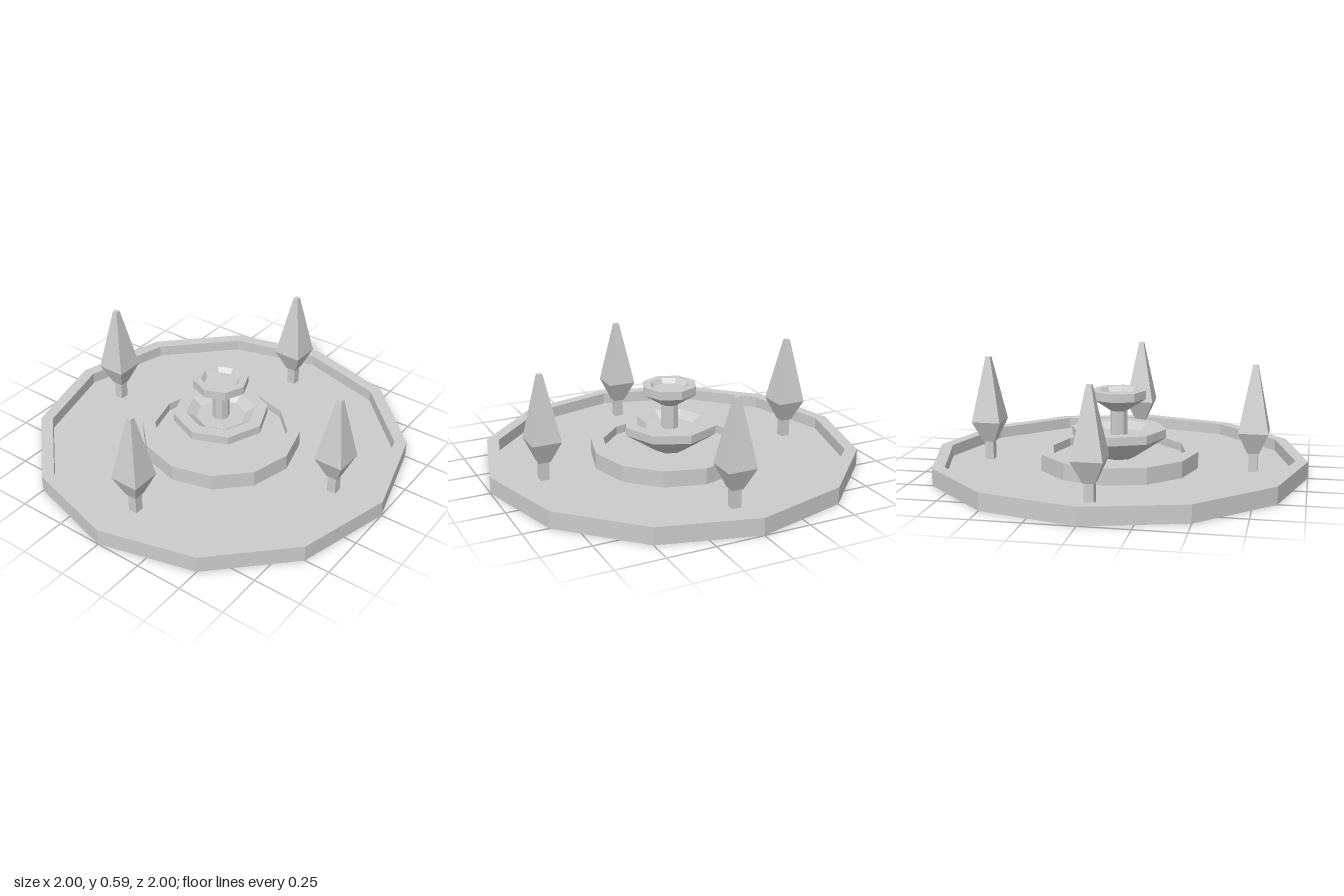
import * as THREE from 'three';

const material = new THREE.MeshStandardMaterial({ color: 0xcccccc, flatShading: true });
const openMaterial = new THREE.MeshStandardMaterial({
  color: 0xcccccc, flatShading: true, side: THREE.DoubleSide,
});

// Faceted solid of revolution; the [radius, y] profile runs up the outside, then inward
function turned(name, profile, sides, mat = material) {
  const points = profile.map(([r, y]) => new THREE.Vector2(r, y));
  const mesh = new THREE.Mesh(new THREE.LatheGeometry(points, sides), mat);
  mesh.name = name;
  return mesh;
}

// Square-section solid; profile gives [half width, y], sides face the axes
function squareTurned(name, profile) {
  const mesh = turned(name, profile.map(([h, y]) => [h * Math.SQRT2, y]), 4);
  mesh.geometry.rotateY(Math.PI / 4);
  return mesh;
}

function createTree() {
  const tree = new THREE.Group();
  tree.name = 'tree';
  tree.add(
    squareTurned('trunk', [[0, 0.027], [0.024, 0.027], [0.024, 0.13]]),
    squareTurned('foliage', [[0, 0.125], [0.03, 0.125], [0.078, 0.24], [0.013, 0.59], [0, 0.59]]),
  );
  return tree;
}

export function createModel() {
  const model = new THREE.Group();
  model.name = 'fountain';

  // Wide outer pool, hollow underneath
  model.add(turned('outerPool', [
    [1, 0], [1, 0.09], [0.935, 0.09], [0.935, 0.027], [0, 0.027],
  ], 12, openMaterial));

  // Raised pool in the middle
  model.add(turned('innerPool', [
    [0, 0.02], [0.428, 0.02], [0.428, 0.115], [0.36, 0.115], [0.36, 0.07], [0, 0.07],
  ], 12));

  // Two stacked bowls joined by a column
  model.add(turned('lowerBowl', [
    [0.075, 0.065], [0.255, 0.185], [0.255, 0.23], [0.187, 0.23], [0.135, 0.195], [0, 0.195],
  ], 8));
  model.add(turned('column', [[0.046, 0.19], [0.046, 0.34]], 8));
  model.add(turned('upperBowl', [
    [0.046, 0.325], [0.147, 0.39], [0.147, 0.435], [0.107, 0.435], [0.088, 0.41], [0, 0.41],
  ], 8));

  // Four trees around the pool
  for (let i = 0; i < 4; i++) {
    const tree = createTree();
    const angle = (i * Math.PI) / 2;
    tree.position.set(0.717 * Math.sin(angle), 0, 0.717 * Math.cos(angle));
    model.add(tree);
  }
  return model;
}
